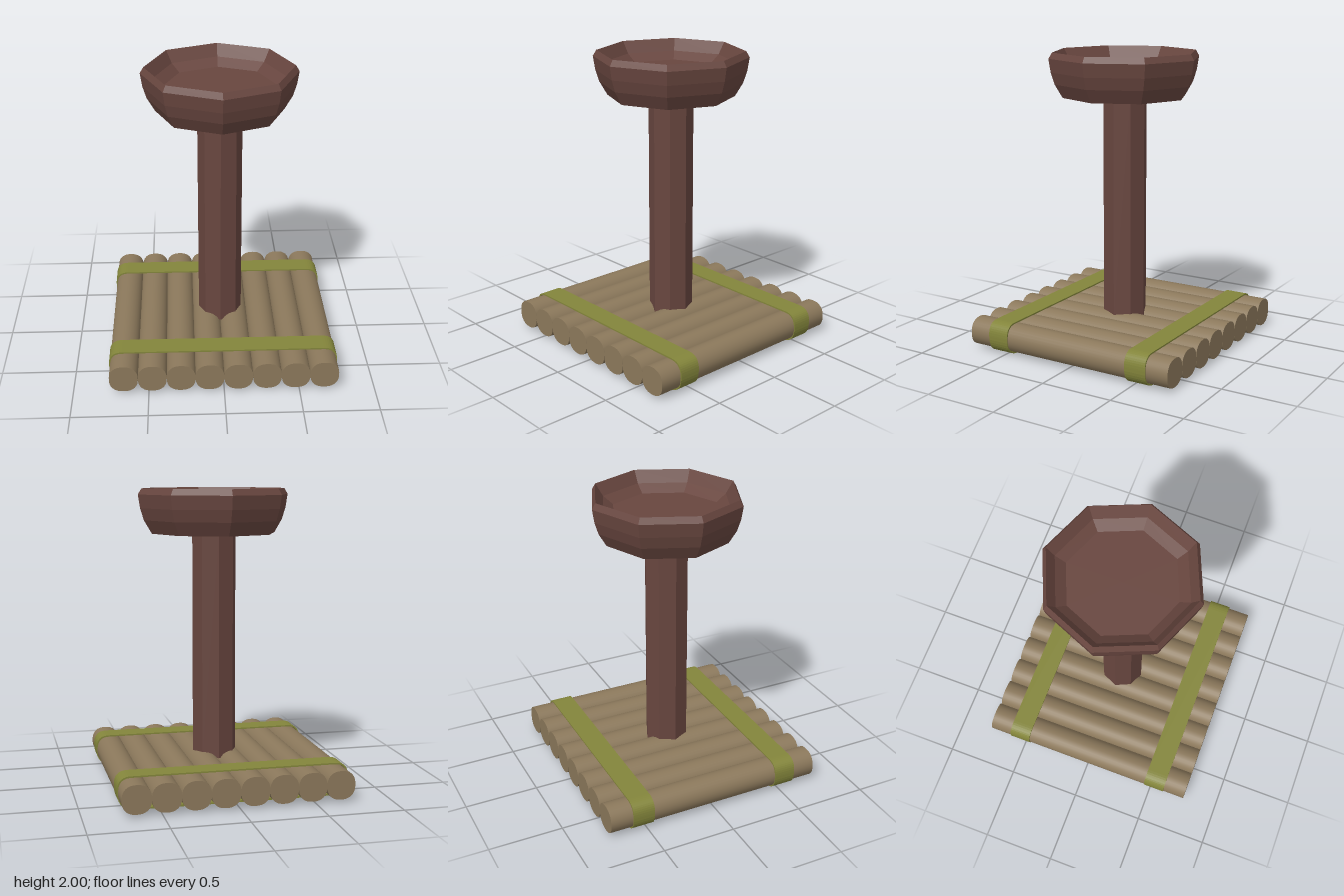
import * as THREE from 'three';

const bark = new THREE.MeshStandardMaterial({ color: 0x8b785b });
const darkWood = new THREE.MeshStandardMaterial({ color: 0x68463f, flatShading: true });
const strap = new THREE.MeshStandardMaterial({ color: 0x83853b });

// Rounded rectangle outline with separate top and bottom corner radii
function roundedOutline(path, hw, y0, y1, rTop, rBottom) {
  path.moveTo(-hw + rBottom, y0);
  path.lineTo(hw - rBottom, y0);
  path.quadraticCurveTo(hw, y0, hw, y0 + rBottom);
  path.lineTo(hw, y1 - rTop);
  path.quadraticCurveTo(hw, y1, hw - rTop, y1);
  path.lineTo(-hw + rTop, y1);
  path.quadraticCurveTo(-hw, y1, -hw, y1 - rTop);
  path.lineTo(-hw, y0 + rBottom);
  path.quadraticCurveTo(-hw, y0, -hw + rBottom, y0);
  return path;
}

// Log with a slightly squared round section, lying along z
function logGeometry(radius, length) {
  const geo = new THREE.CylinderGeometry(radius, radius, length, 32);
  geo.rotateX(Math.PI / 2);
  const p = geo.attributes.position;
  for (let i = 0; i < p.count; i++) {
    const x = p.getX(i) / radius, y = p.getY(i) / radius;
    const n = Math.pow(Math.abs(x) ** 2.4 + Math.abs(y) ** 2.4, 1 / 2.4);
    const k = n > 0.01 ? 1 / n : 0;
    p.setXY(i, x * k * radius, y * k * radius);
  }
  return geo;
}

export function createModel() {
  const model = new THREE.Group();
  model.name = 'pedestalBowlOnRaft';
  const add = (name, geometry, material, x = 0, y = 0, z = 0) => {
    const mesh = new THREE.Mesh(geometry, material);
    mesh.name = name;
    mesh.position.set(x, y, z);
    model.add(mesh);
  };

  // Raft of eight logs side by side
  const log = logGeometry(0.095, 1.52);
  for (let i = 0; i < 8; i++) add('log' + (i + 1), log, bark, (i - 3.5) * 0.19, 0.114);

  // Two thin straps wrapped around the logs
  const loop = roundedOutline(new THREE.Shape(), 0.766, 0, 0.22, 0.09, 0.12);
  loop.holes.push(roundedOutline(new THREE.Path(), 0.758, 0.012, 0.21, 0.085, 0.11));
  const band = new THREE.ExtrudeGeometry(loop, { depth: 0.15, bevelEnabled: false, curveSegments: 10 });
  band.translate(0, 0, -0.075);
  add('frontStrap', band, strap, 0, 0, 0.53);
  add('backStrap', band, strap, 0, 0, -0.53);

  // Eight-sided post
  add('post', new THREE.CylinderGeometry(0.15, 0.15, 1.54, 8), darkWood, 0, 0.94);

  // Eight-sided bowl: underside, outer wall, rim, inner wall, floor
  const profile = [
    [0, 1.7], [0.425, 1.7], [0.478, 1.79], [0.503, 1.87], [0.517, 1.96],
    [0.493, 2], [0.44, 1.92], [0.37, 1.87], [0, 1.87],
  ].map(([r, y]) => new THREE.Vector2(r, y));
  add('bowl', new THREE.LatheGeometry(profile, 8), darkWood);

  return model;
}
